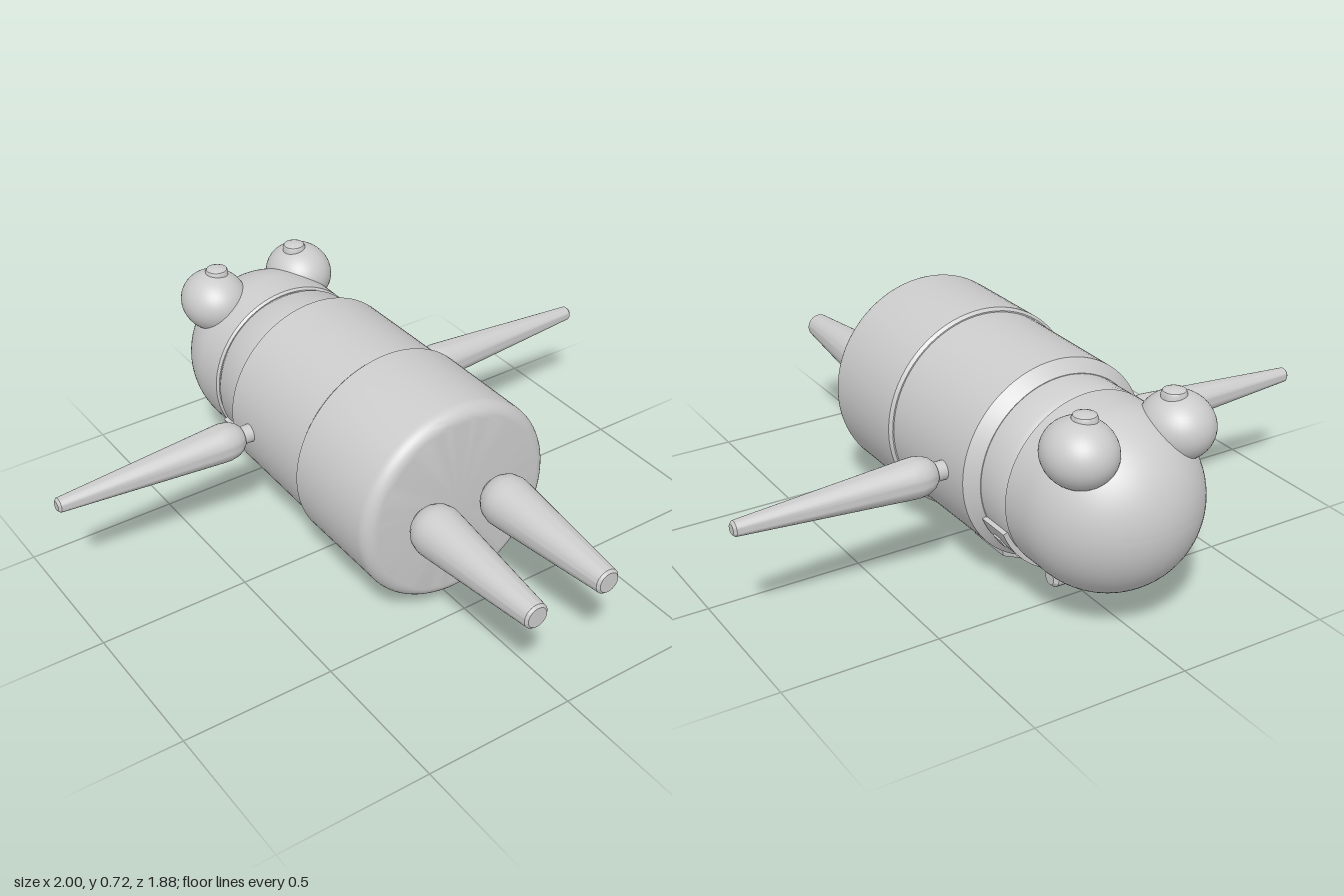
import * as THREE from 'three';
import { toCreasedNormals } from 'three/addons/utils/BufferGeometryUtils.js';

const AXIS_Y = 0.38;

export function createModel() {
  const model = new THREE.Group();
  const mat = new THREE.MeshStandardMaterial({ color: 0xcccccc });

  const add = (name, geo, x = 0, y = 0, z = 0, parent = model) => {
    const mesh = new THREE.Mesh(geo, mat);
    mesh.name = name;
    mesh.position.set(x, y, z);
    parent.add(mesh);
    return mesh;
  };
  // Turned profile of [radius, height] pairs, heights rising
  const turned = (pts, segs = 64) => toCreasedNormals(
    new THREE.LatheGeometry(pts.map(([r, h]) => new THREE.Vector2(r, h)), segs), 0.6);
  // Quarter-round from angle a to b around a corner centre
  const arc = (r, h, radius, a, b, n = 8) => Array.from({ length: n + 1 }, (_, i) => {
    const t = a + (b - a) * i / n;
    return [Math.max(0, r + radius * Math.cos(t)), h + radius * Math.sin(t)];
  });
  const H = Math.PI / 2;

  // Barrel sections, all turned around the z axis
  const alongZ = (name, pts) => add(name, turned(pts, 80).rotateX(H), 0, AXIS_Y, 0);
  alongZ('head', [...arc(0, -0.607, 0.284, -H, 0, 24),
    [0.284, -0.51], [0.277, -0.502], [0, -0.502]]);
  alongZ('neck', [[0, -0.505], [0.272, -0.505], [0.283, -0.485], [0.283, -0.36], [0, -0.36]]);
  alongZ('chest', [[0, -0.378], [0.285, -0.378], [0.294, -0.368], [0.322, -0.34],
    [0.326, 0.08], [0, 0.08]]);
  alongZ('hips', [[0, 0.066], [0.33, 0.066], [0.339, 0.076],
    ...arc(0.294, 0.41, 0.045, 0, H), [0, 0.455]]);

  // Tapered limb standing on its rounded root, pointing up y
  const limb = (r, tip, len) => turned([[0, 0], [r * 0.6, 0], [r * 0.78, 0.012],
    [r * 0.93, 0.032], [r, 0.06], [r * 0.98, 0.085],
    [tip + 0.002, len - 0.008], [tip - 0.006, len], [0, len]], 40);

  for (const s of [1, -1]) {
    const side = s > 0 ? 'left' : 'right';
    // Arms
    add(side + 'Arm', limb(0.063, 0.022, 0.642).rotateZ(-s * H), s * 0.358, AXIS_Y, -0.23);
    add(side + 'ShoulderPin', new THREE.CylinderGeometry(0.03, 0.03, 0.09, 24).rotateZ(H),
      s * 0.335, AXIS_Y, -0.23);
    // Legs
    add(side + 'Leg', limb(0.085, 0.039, 0.525).rotateX(H), s * 0.13, AXIS_Y, 0.462);
    add(side + 'HipPin', new THREE.CylinderGeometry(0.045, 0.045, 0.05, 24).rotateX(H),
      s * 0.13, AXIS_Y, 0.455);
    // Bulging eyes with button pupils
    const eye = add(side + 'Eye', new THREE.SphereGeometry(1, 40, 28), s * 0.167, 0.597, -0.7);
    eye.scale.set(0.11, 0.102, 0.12);
    add(side + 'Pupil', turned([[0, -0.02], [0.038, -0.02], [0.038, 0.006],
      [0.034, 0.014], [0.02, 0.02], [0, 0.022]], 32), s * 0.152, 0.694, -0.7);
  }

  // Collar strap around the underside of the neck
  const strapStart = Math.PI + 0.385, strapEnd = 2 * Math.PI - 0.385;
  const strap = new THREE.Shape();
  strap.absarc(0, 0, 0.297, strapStart, strapEnd, false);
  strap.absarc(0, 0, 0.27, strapEnd, strapStart, true);
  add('collarStrap', toCreasedNormals(new THREE.ExtrudeGeometry(strap,
    { depth: 0.115, bevelEnabled: false, curveSegments: 40 }), 0.6), 0, AXIS_Y, -0.488);

  // Square studs along the strap
  for (const s of [1, -1]) {
    for (const a of [0.6, 0.95]) {
      const stud = add('collarStud', new THREE.BoxGeometry(0.014, 0.036, 0.036),
        s * 0.295 * Math.cos(a), AXIS_Y - 0.295 * Math.sin(a), -0.425);
      stud.rotation.z = -s * a;
    }
  }

  // Grooved crossbar hanging under the chin
  const bar = [[0, -0.12], [0.022, -0.12], [0.032, -0.108], [0.032, -0.06], [0.02, -0.055],
    [0.02, -0.045], [0.028, -0.04]];
  const barProfile = [...bar, ...bar.map(([r, h]) => [r, -h]).reverse()];
  add('chinBar', turned(barProfile, 28).rotateZ(H), 0, 0.083, -0.5);

  // Stacked chamfered plates and a ringed lens on the belly
  const badge = new THREE.Group();
  badge.name = 'chestBadge';
  badge.position.set(0, 0, -0.17);
  model.add(badge);
  const plate = (name, w, d, c, bottom, top) => {
    const shape = new THREE.Shape([[w, d - c], [w - c, d], [c - w, d], [-w, d - c],
      [-w, c - d], [c - w, -d], [w - c, -d], [w, c - d]].map(([x, y]) => new THREE.Vector2(x, y)));
    const b = 0.006;
    const geo = new THREE.ExtrudeGeometry(shape, { depth: top - bottom - 2 * b,
      bevelSize: b, bevelThickness: b, bevelOffset: -b, bevelSegments: 2 });
    add(name, toCreasedNormals(geo.rotateX(-H), 0.5), 0, bottom + b, 0, badge);
  };
  plate('badgeBase', 0.127, 0.138, 0.055, 0.034, 0.1);
  plate('badgeStep', 0.105, 0.112, 0.045, 0.018, 0.05);
  add('badgeRing', turned([[0, 0.014], [0.054, 0.014], [0.058, 0], [0.07, 0], [0.077, 0.008],
    [0.077, 0.03], [0, 0.03]], 40), 0, 0, 0, badge);
  add('badgeLens', turned([[0, 0.004], [0.025, 0.006], [0.04, 0.016], [0, 0.016]], 32),
    0, 0, 0, badge);

  return model;
}
